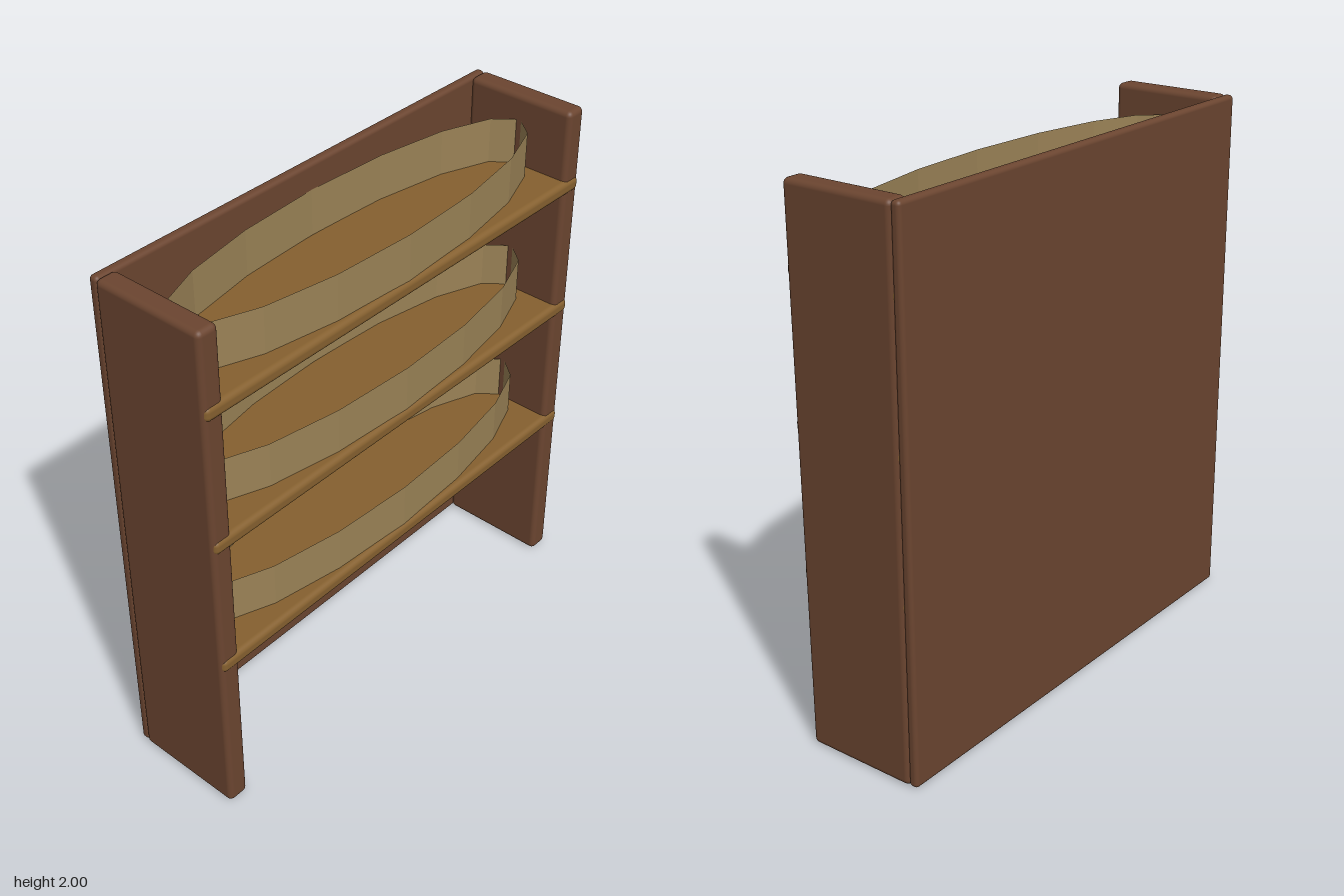
import * as THREE from 'three';
import { RoundedBoxGeometry } from 'three/addons/geometries/RoundedBoxGeometry.js';

const frameWood = new THREE.MeshStandardMaterial({ color: 0x6b4530 });
const shelfWood = new THREE.MeshStandardMaterial({ color: 0x85602f });
const bandWood = new THREE.MeshStandardMaterial({
  color: 0x9a8256, flatShading: true, side: THREE.DoubleSide,
});

// Rounded board spanning the given [min, max] ranges
function board(name, material, [x0, x1], [y0, y1], [z0, z1], radius) {
  const geometry = new RoundedBoxGeometry(x1 - x0, y1 - y0, z1 - z0, 3, radius);
  const mesh = new THREE.Mesh(geometry, material);
  mesh.position.set((x0 + x1) / 2, (y0 + y1) / 2, (z0 + z1) / 2);
  mesh.name = name;
  return mesh;
}

export function createModel() {
  const model = new THREE.Group();
  model.name = 'shelfUnit';

  // Frame: back panel and two uprights
  model.add(
    board('backPanel', frameWood, [-0.925, 0.925], [0, 2], [-0.237, -0.2], 0.015),
    board('leftSide', frameWood, [0.847, 0.93], [0, 2], [-0.205, 0.23], 0.02),
    board('rightSide', frameWood, [-0.93, -0.847], [0, 2], [-0.205, 0.23], 0.02),
  );

  // Shelves, each carrying a thin, open oval band
  const bandGeometry = new THREE.CylinderGeometry(1, 1, 0.19, 16, 1, true);
  bandGeometry.scale(0.855, 1, 0.213);
  [0.643, 1.162, 1.68].forEach((y, i) => {
    const tier = new THREE.Group();
    tier.name = `tier${i + 1}`;
    const band = new THREE.Mesh(bandGeometry, bandWood);
    band.name = 'ovalBand';
    band.position.set(0, y + 0.13, 0.015);
    tier.add(
      board('shelf', shelfWood, [-0.925, 0.925], [y, y + 0.055], [-0.21, 0.237], 0.02),
      band,
    );
    model.add(tier);
  });

  return model;
}
